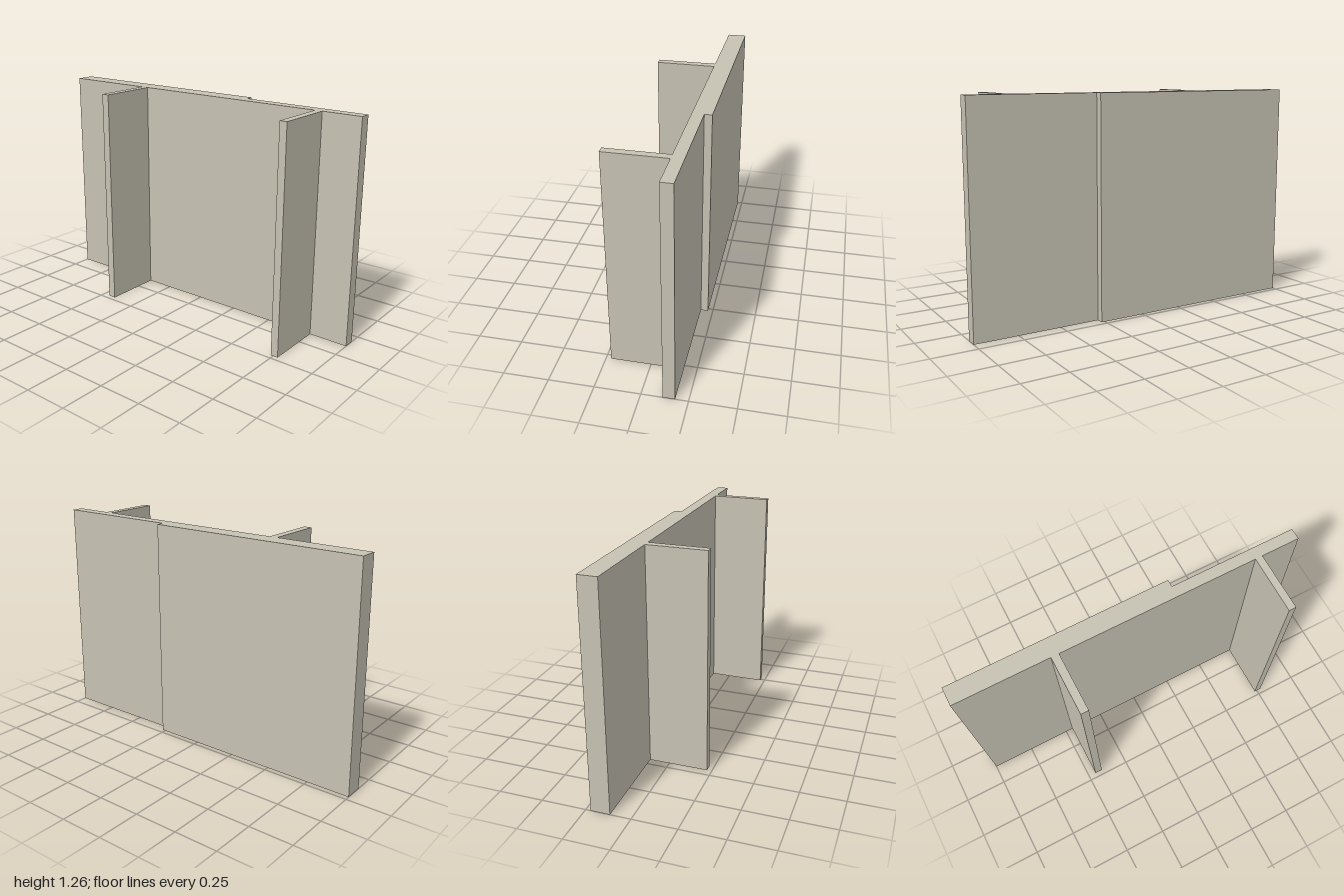
import * as THREE from 'three';

const HEIGHT = 1.26;
const FRONT = 0.222, BACK = -0.222; // overall depth
const FACE = -0.115;                // front face of the panel
const STEP_X = 0.27, STEP_Z = -0.18; // where the panel becomes thinner
const RIBS = [[-0.455, -0.41], [0.735, 0.777]];

export function createModel() {
  const group = new THREE.Group();
  group.name = 'ribbedPanel';
  const stone = new THREE.MeshStandardMaterial({ color: 0xc6c2b3 });
  stone.name = 'warm grey';

  // Floor plan as [x, z]: stepped back, then the front with its two ribs
  const plan = [[-1, FACE]];
  for (const [x0, x1] of RIBS) {
    plan.push([x0, FACE], [x0, FRONT], [x1, FRONT], [x1, FACE]);
  }
  plan.push([1, FACE], [1, STEP_Z], [STEP_X, STEP_Z], [STEP_X, BACK], [-1, BACK]);

  // Draw the plan with z flipped, extrude it and stand it upright
  const shape = new THREE.Shape(plan.map(([x, z]) => new THREE.Vector2(x, -z)));
  const geometry = new THREE.ExtrudeGeometry(shape, { depth: HEIGHT, bevelEnabled: false });
  geometry.rotateX(-Math.PI / 2);

  const panel = new THREE.Mesh(geometry, stone);
  panel.name = 'steppedPanelWithRibs';
  group.add(panel);
  return group;
}
